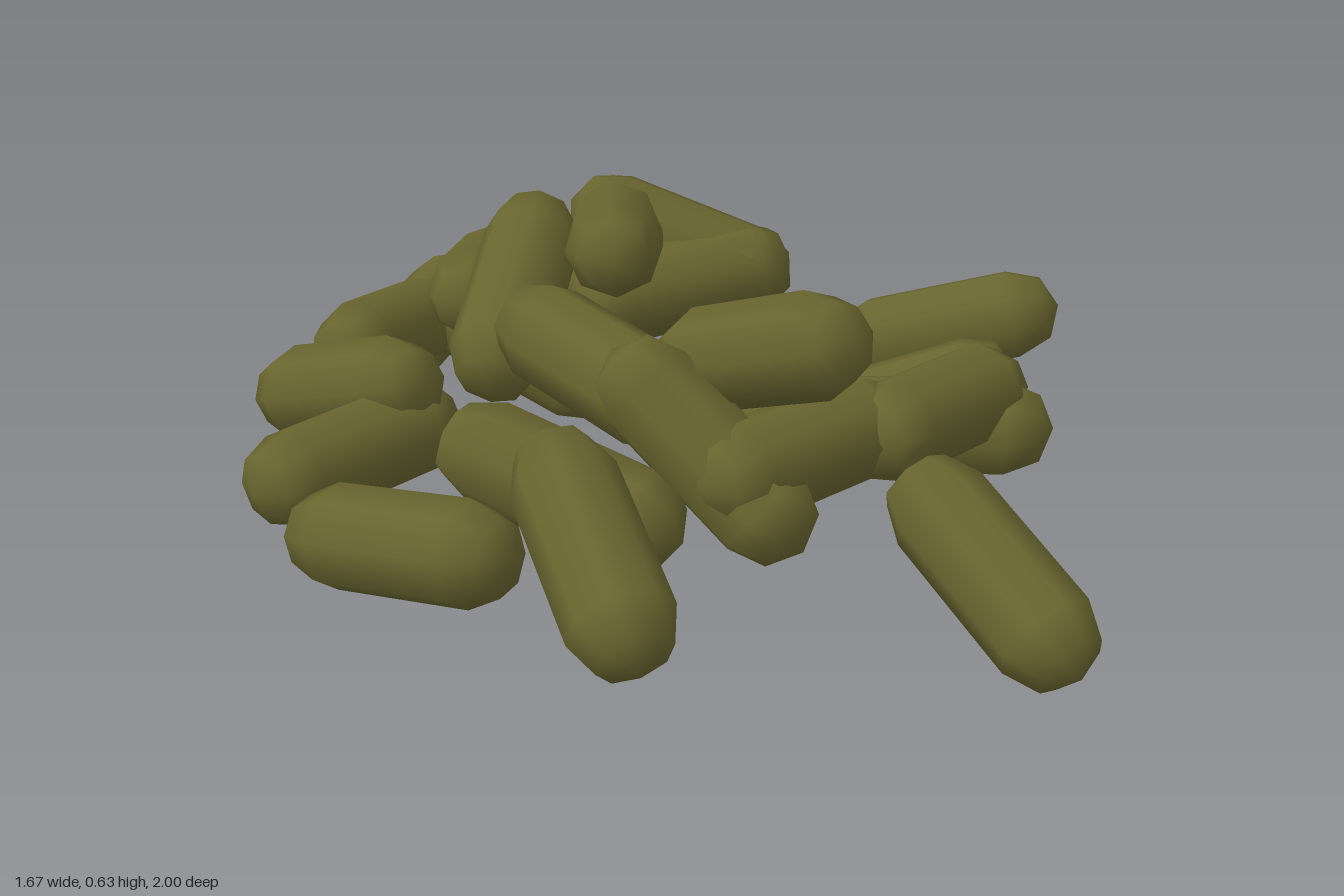
import * as THREE from 'three';

const RADIUS = 0.095;
const LENGTH = 0.29;

// Each rod of the heap: the centres of its two rounded ends
const rods = [
  // back group
  [0.11, 0.18, -0.91, -0.15, 0.14, -0.77],
  [-0.29, 0.22, -0.69, -0.02, 0.18, -0.81],
  [-0.065, 0.31, -0.59, 0.145, 0.27, -0.78],
  [0.14, 0.09, -0.5, 0.02, 0.2, -0.74],
  // right-hand group
  [-0.48, 0.2, -0.6, -0.445, 0.29, -0.33],
  [-0.71, 0.2, -0.275, -0.42, 0.2, -0.31],
  [-0.745, 0.17, -0.065, -0.675, 0.21, 0.19],
  [-0.53, 0.32, 0.285, -0.605, 0.19, 0.505],
  [-0.515, 0.3, 0.065, -0.41, 0.23, 0.31],
  // upper group
  [-0.3, 0.44, -0.05, -0.285, 0.39, 0.24],
  [-0.3, 0.36, -0.19, -0.1, 0.5, -0.335],
  [-0.03, 0.51, -0.17, 0.13, 0.48, -0.35],
  [0.15, 0.32, -0.41, 0.36, 0.34, -0.225],
  [0.13, 0.49, -0.34, 0.285, 0.4, -0.14],
  [0.03, 0.38, -0.22, 0.28, 0.4, -0.14],
  // left-hand pair
  [0.37, 0.1, 0.06, 0.51, 0.215, 0.29],
  [0.57, 0.2, -0.02, 0.745, 0.275, 0.195],
  // front group
  [-0.18, 0.45, 0.27, -0.18, 0.54, 0.5],
  [-0.31, 0.41, 0.27, -0.25, 0.26, 0.45],
  [-0.26, 0.31, 0.43, 0.02, 0.31, 0.43],
  [0.07, 0.31, 0.48, 0.34, 0.29, 0.44],
  [0.16, 0.23, 0.28, 0.36, 0.23, 0.49],
  [0.09, 0.22, 0.19, 0.27, 0.21, 0.4],
  [-0.005, 0.24, 0.65, -0.025, 0.103, 0.91],
];

export function createModel() {
  const heap = new THREE.Group();
  heap.name = 'rodHeap';
  const geometry = new THREE.CapsuleGeometry(RADIUS, LENGTH, 2, 8);
  const material = new THREE.MeshStandardMaterial({ color: 0x68652f });
  const up = new THREE.Vector3(0, 1, 0);

  rods.forEach((r, i) => {
    const a = new THREE.Vector3(r[0], r[1], r[2]);
    const b = new THREE.Vector3(r[3], r[4], r[5]);
    const rod = new THREE.Mesh(geometry, material);
    rod.name = `rod${i + 1}`;
    rod.position.addVectors(a, b).multiplyScalar(0.5);
    rod.quaternion.setFromUnitVectors(up, b.sub(a).normalize());
    heap.add(rod);
  });
  return heap;
}
